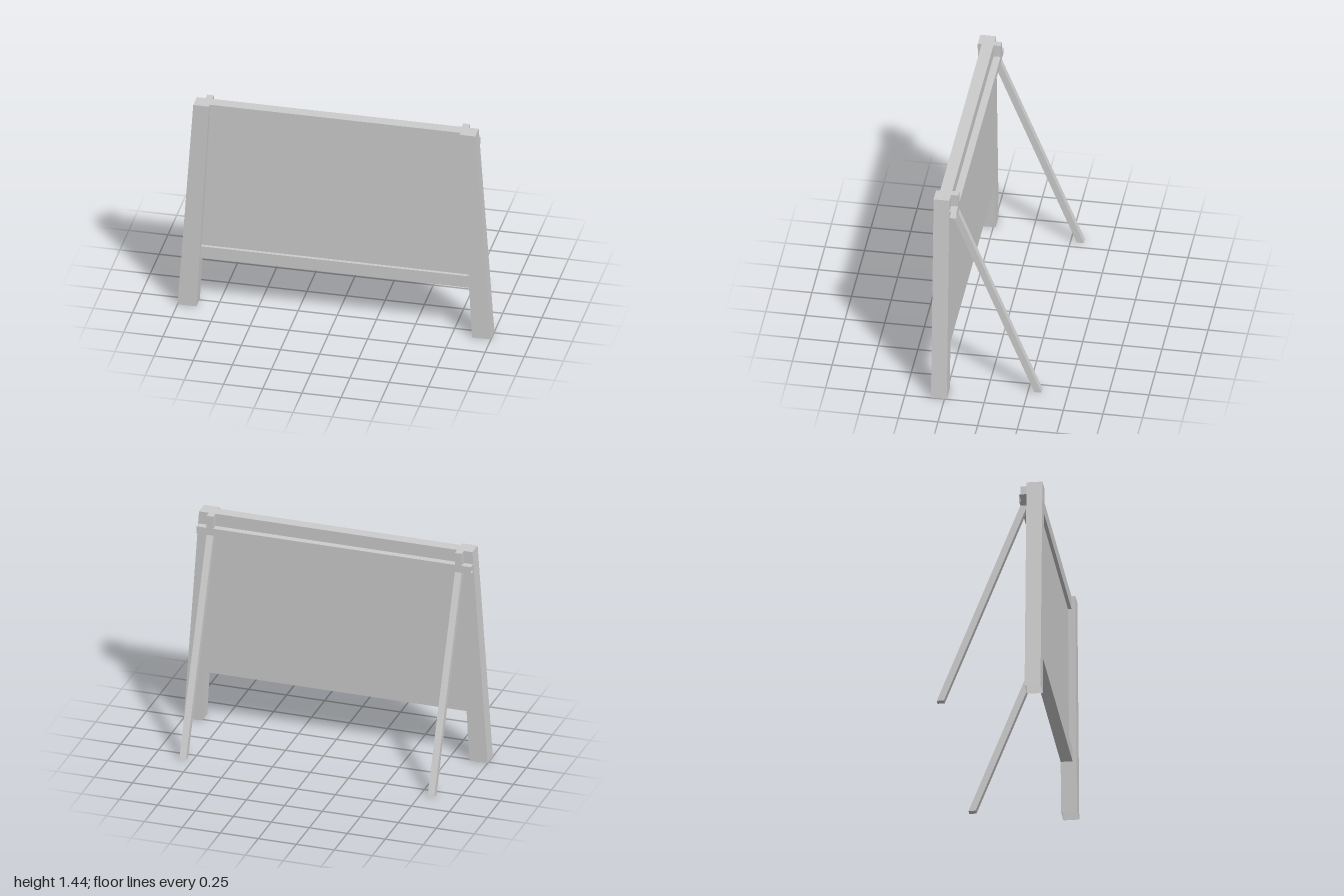
import * as THREE from 'three';

const material = new THREE.MeshStandardMaterial({ color: 0xcccccc, side: THREE.DoubleSide, flatShading: true });

// Six-sided block between two horizontal rectangles [x0, x1, z0, z1];
// "open" lists faces to leave out.
function block(name, y0, bottom, y1, top, open = []) {
  const ring = (y, [x0, x1, z0, z1]) => [[x0, y, z1], [x1, y, z1], [x1, y, z0], [x0, y, z0]];
  const c = [...ring(y0, bottom), ...ring(y1, top)];
  const faces = {
    front: [0, 1, 5, 4], right: [1, 2, 6, 5], back: [2, 3, 7, 6],
    left: [3, 0, 4, 7], top: [4, 5, 6, 7], bottom: [3, 2, 1, 0],
  };
  const positions = [];
  for (const [key, [a, b, d, e]] of Object.entries(faces)) {
    if (open.includes(key)) continue;
    for (const i of [a, b, d, a, d, e]) positions.push(...c[i]);
  }
  const geometry = new THREE.BufferGeometry();
  geometry.setAttribute('position', new THREE.Float32BufferAttribute(positions, 3));
  geometry.computeVertexNormals();
  const mesh = new THREE.Mesh(geometry, material);
  mesh.name = name;
  return mesh;
}

export function createModel() {
  const model = new THREE.Group();
  model.name = 'standingBoard';

  const height = 1.443, back = 0.235, front = 0.335;
  // Inner edge of the leaning side posts at a given height
  const inner = (y) => 0.88 - 0.08 * (y / height);

  // Board and rails fill the space between the posts
  const span = (name, y0, y1, zFront) => {
    const a = inner(y0), b = inner(y1);
    model.add(block(name, y0, [-a, a, back, zFront], y1, [-b, b, back, zFront]));
  };
  span('bottomRail', 0.338, 0.42, 0.31);
  span('board', 0.42, 1.358, 0.288);
  span('topRail', 1.358, height, 0.31);

  // Tapered side posts, hollow at the foot
  model.add(block('leftPost', 0, [0.88, 1, back, front], height, [0.8, 0.9, back, front], ['bottom']));
  model.add(block('rightPost', 0, [-1, -0.88, back, front], height, [-0.9, -0.8, back, front], ['bottom']));

  // Cross bar behind the board, open at its ends
  const bar = [-0.905, 0.9, 0.19, back];
  model.add(block('crossBar', 1.312, bar, 1.36, bar, ['left', 'right']));

  // Slanted rear struts with a short upright stub above the bar
  for (const [side, x] of [['left', 0.813], ['right', -0.822]]) {
    const x0 = x - 0.022, x1 = x + 0.022;
    const head = [x0, x1, 0.19, back];
    model.add(block(side + 'Strut', 0, [x0, x1, -0.335, -0.29], 1.312, head));
    model.add(block(side + 'Stub', 1.36, head, height, head));
  }
  return model;
}
